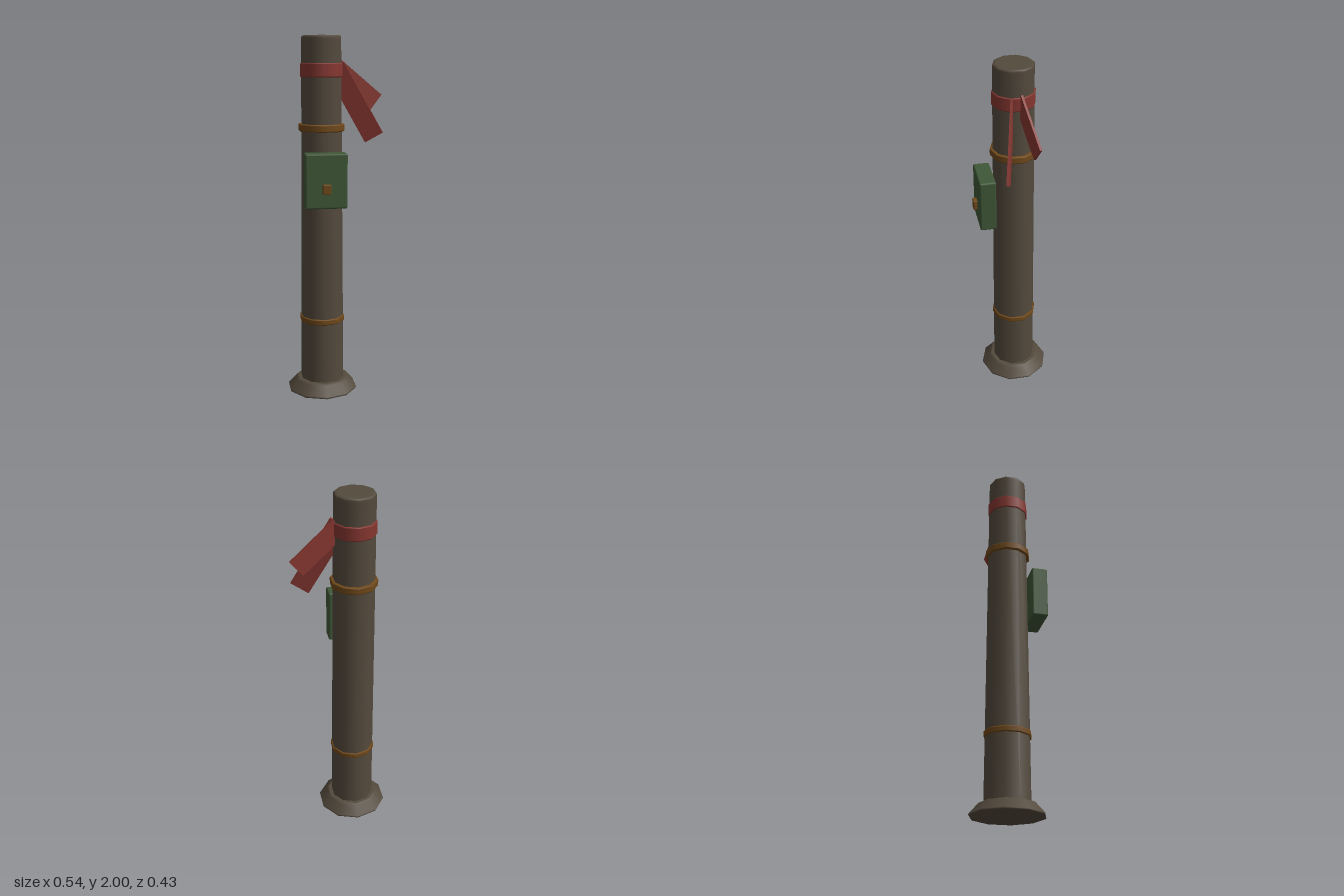
import * as THREE from 'three';
import { RoundedBoxGeometry } from 'three/addons/geometries/RoundedBoxGeometry.js';

const SIDES = 10;
const CX = -0.08, CZ = -0.015;

export function createModel() {
  const group = new THREE.Group();
  const material = (name, color) => {
    const m = new THREE.MeshStandardMaterial({ color });
    m.name = name;
    return m;
  };
  const wood = material('weathered wood', 0x544a3d);
  const ochre = material('ochre metal', 0x70491a);
  const red = material('red cloth', 0x873731);
  const green = material('green paint', 0x3f5737);

  const add = (name, geometry, mat, x, y, z) => {
    const mesh = new THREE.Mesh(geometry, mat);
    mesh.name = name;
    mesh.position.set(x, y, z);
    group.add(mesh);
    return mesh;
  };

  // Ten-sided turned part; profile runs from bottom to top
  const turned = (name, profile, mat) => {
    const points = profile.map(([r, y]) => new THREE.Vector2(r, y));
    return add(name, new THREE.LatheGeometry(points, SIDES), mat, CX, 0, CZ);
  };

  // Closed band with small bevels
  const band = (name, r, y0, y1, mat) => {
    const b = 0.004, inner = 0.1;
    turned(name, [
      [inner, y0], [r - b, y0], [r, y0 + b], [r, y0 + b * 1.5],
      [r, y1 - b * 1.5], [r, y1 - b], [r - b, y1], [inner, y1],
    ], mat);
  };

  // Flared foot
  turned('foot', [
    [0, 0], [0.194, 0], [0.198, 0.001], [0.2, 0.006], [0.197, 0.011],
    [0.153, 0.06], [0.147, 0.066], [0.14, 0.068], [0.1, 0.068],
  ], wood);

  // Tapering post with a bevelled top
  turned('post', [
    [0.124, 0.05], [0.124, 0.06], [0.109, 1.98], [0.109, 1.99],
    [0.107, 1.996], [0.1, 2], [0.09, 2], [0, 2],
  ], wood);

  // Hoops and cloth wrap
  band('lowerHoop', 0.128, 0.409, 0.442, ochre);
  band('upperHoop', 0.128, 1.49, 1.53, ochre);
  band('clothWrap', 0.116, 1.78, 1.856, red);

  // Box on the front with its latch
  add('controlBox', new RoundedBoxGeometry(0.228, 0.296, 0.09, 2, 0.01), green, CX, 1.238, 0.145);
  add('latch', new RoundedBoxGeometry(0.045, 0.055, 0.026, 2, 0.005), ochre, CX, 1.198, 0.2);

  // Loose cloth tails, leaning out to the left side
  const tail = (name, length, x, y, z, lean, turn) => {
    const mesh = add(name, new THREE.BoxGeometry(0.111, length, 0.012), red, x, y, z);
    mesh.rotation.set(0, THREE.MathUtils.degToRad(turn), THREE.MathUtils.degToRad(lean), 'YXZ');
  };
  tail('frontTail', 0.432, 0.095, 1.645, 0.035, 29.7, -17);
  tail('backTail', 0.305, 0.115, 1.733, -0.052, 51.4, 11.5);

  return group;
}
